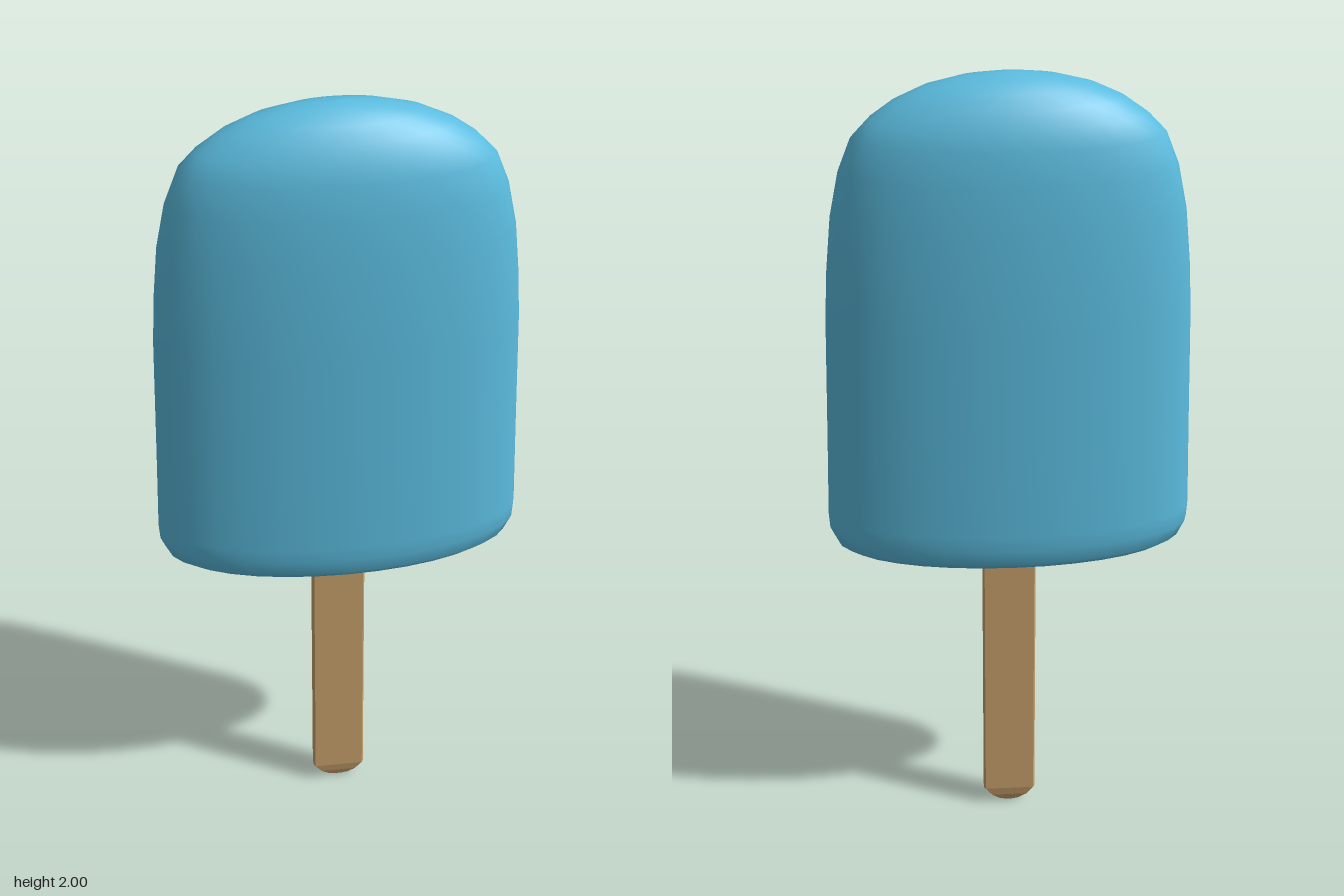
import * as THREE from 'three';
import { ConvexGeometry } from 'three/addons/geometries/ConvexGeometry.js';

const iceBlue = new THREE.MeshStandardMaterial({ color: 0x5bbcdf });
iceBlue.name = 'iceBlue';
const wood = new THREE.MeshStandardMaterial({ color: 0xc8a16c });
wood.name = 'wood';

// Frozen body: a smooth turned profile flattened into an oval section
function createIce() {
  const profile = [
    [0, 0.775], [0.2, 0.775], [0.35, 0.778], [0.4, 0.787], [0.428, 0.802],
    [0.447, 0.84], [0.45, 0.88], [0.445, 1.1], [0.439, 1.4], [0.433, 1.52],
    [0.42, 1.66], [0.398, 1.77], [0.367, 1.85], [0.325, 1.895],
    [0.27, 1.935], [0.2, 1.968], [0.12, 1.989], [0.05, 1.998], [0, 2],
  ].map(([r, y]) => new THREE.Vector2(r, y));
  const geometry = new THREE.LatheGeometry(profile, 32, Math.PI / 2);
  geometry.scale(1, 1, 0.37);
  const mesh = new THREE.Mesh(geometry, iceBlue);
  mesh.name = 'iceBody';
  return mesh;
}

// Flat stick: chamfered section, closing in to a rounded lower tip
function createStick() {
  const rings = [
    // y, width scale, depth scale
    [0.9, 1, 1], [0.045, 1, 1], [0.022, 0.72, 0.75], [0.007, 0.4, 0.45], [0, 0.12, 0.15],
  ];
  const corner = [[0.067, 0.011], [0.063, 0.018]];
  const points = [];
  for (const [y, sx, sz] of rings) {
    for (const [x, z] of corner) {
      for (const mx of [-1, 1]) {
        for (const mz of [-1, 1]) points.push(new THREE.Vector3(mx * x * sx, y, mz * z * sz));
      }
    }
  }
  const mesh = new THREE.Mesh(new ConvexGeometry(points), wood);
  mesh.name = 'stick';
  return mesh;
}

export function createModel() {
  const group = new THREE.Group();
  group.name = 'icePop';
  group.add(createIce(), createStick());
  return group;
}
